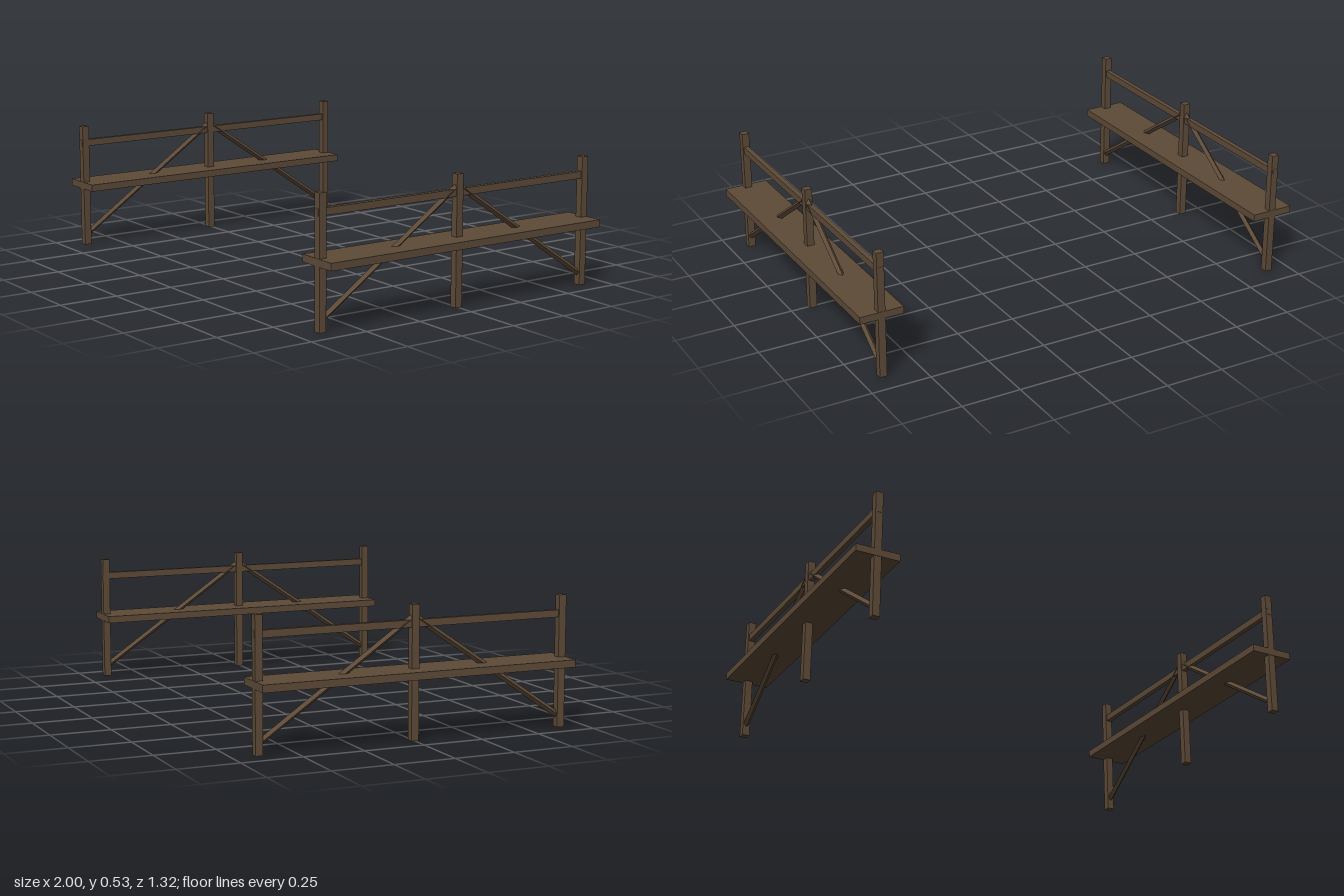
import * as THREE from 'three';

export function createModel() {
  const model = new THREE.Group();
  model.name = 'bridgeRailings';
  const wood = new THREE.MeshStandardMaterial({ color: 0x5e4b38 });
  wood.name = 'dark wood';

  const add = (parent, name, geometry, x, y, z) => {
    const mesh = new THREE.Mesh(geometry, wood);
    mesh.name = name;
    mesh.position.set(x, y, z);
    parent.add(mesh);
    return mesh;
  };

  const post = new THREE.BoxGeometry(0.031, 0.53, 0.031);
  const rail = new THREE.BoxGeometry(0.021, 0.029, 1.324);
  const plank = new THREE.BoxGeometry(0.185, 0.03, 1.324);

  // Four-sided brace with its edges turned up, down and sideways
  const foot = new THREE.Vector3(0, 0.045, 0.642);
  const peak = new THREE.Vector3(0, 0.485, 0);
  const span = peak.clone().sub(foot);
  const brace = new THREE.CylinderGeometry(0.0125, 0.0125, span.length(), 4).toNonIndexed();
  brace.computeVertexNormals();

  for (const side of [-1, 1]) {
    const frame = new THREE.Group();
    frame.name = side > 0 ? 'leftRailing' : 'rightRailing';
    frame.position.x = side * 0.9075;
    model.add(frame);

    for (const z of [-0.645, 0, 0.645]) add(frame, 'post', post, 0, 0.265, z);
    add(frame, 'topRail', rail, 0, 0.456, 0);
    add(frame, 'plank', plank, 0, 0.267, 0);

    // Diagonal braces rising to the middle post
    for (const end of [-1, 1]) {
      const mesh = add(frame, 'brace', brace, 0, (foot.y + peak.y) / 2, end * foot.z / 2);
      mesh.rotation.x = Math.atan2(end * span.z, span.y);
    }
  }
  return model;
}
